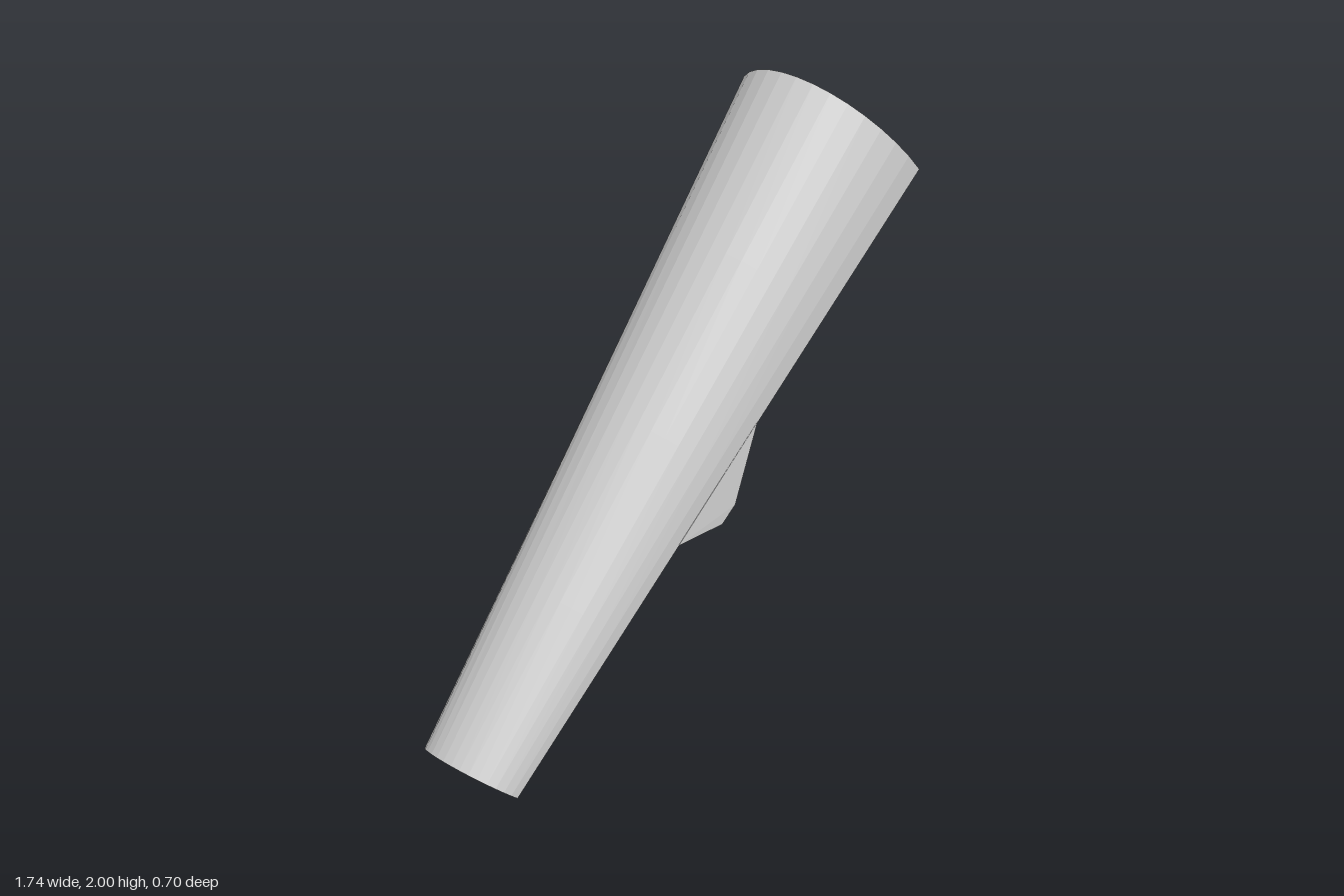
import * as THREE from 'three';

const material = () => new THREE.MeshStandardMaterial({ color: 0xcccccc, flatShading: true });

// Collects quads (corners counter-clockwise from outside) into a mesh
function quadMesh(name, quads) {
  const positions = [];
  for (const [a, b, c, d] of quads) {
    for (const p of [a, b, c, a, c, d]) positions.push(p.x, p.y, p.z);
  }
  const geometry = new THREE.BufferGeometry();
  geometry.setAttribute('position', new THREE.Float32BufferAttribute(positions, 3));
  geometry.computeVertexNormals();
  const mesh = new THREE.Mesh(geometry, material());
  mesh.name = name;
  return mesh;
}

// Ends of the tapered half-cone: rim, ridge and half width, outside and inside
const low = { rim: [-0.74, 0.0], ridge: [-0.87, 0.1], inner: [-0.83, 0.07], w: 0.195, wi: 0.15 };
const high = { rim: [0.865, 1.7], ridge: [0.59, 2.0], inner: [0.62, 1.967], w: 0.35, wi: 0.305 };
const SEGMENTS = 18;
const STATIONS = 4;

// Half-elliptical arc from the +z rim over the ridge to the -z rim
function arc(t, ridgeKey, widthKey) {
  const mix = (a, b) => a + (b - a) * t;
  const [rx, ry] = [0, 1].map((k) => mix(low.rim[k], high.rim[k]));
  const [tx, ty] = [0, 1].map((k) => mix(low[ridgeKey][k], high[ridgeKey][k]));
  const w = mix(low[widthKey], high[widthKey]);
  return Array.from({ length: SEGMENTS + 1 }, (_, i) => {
    const a = (Math.PI * i) / SEGMENTS;
    const s = Math.sin(a);
    return new THREE.Vector3(rx + (tx - rx) * s, ry + (ty - ry) * s, w * Math.cos(a));
  });
}

function createShell() {
  const quads = [];
  const sections = [];
  for (let j = 0; j <= STATIONS; j++) {
    const t = j / STATIONS;
    sections.push([...arc(t, 'ridge', 'w'), ...arc(t, 'inner', 'wi').reverse()]);
  }
  const n = sections[0].length;
  // Outer wall, inner wall and rims
  for (let j = 0; j < STATIONS; j++) {
    const [a, b] = [sections[j], sections[j + 1]];
    for (let i = 0; i < n; i++) {
      const k = (i + 1) % n;
      quads.push([a[i], b[i], b[k], a[k]]);
    }
  }
  // Crescent-shaped ends
  const [first, last] = [sections[0], sections[STATIONS]];
  for (let i = 0; i < SEGMENTS; i++) {
    quads.push([first[i], first[i + 1], first[n - 2 - i], first[n - 1 - i]]);
    quads.push([last[n - 1 - i], last[n - 2 - i], last[i + 1], last[i]]);
  }
  return quadMesh('taperedShell', quads);
}

// Tab hanging from one rim; side is +1 (front) or -1 (back)
function createTab(side) {
  const outline = [[-0.11, 0.67, 0.257], [0.06, 0.695, 0.28], [0.11, 0.75, 0.287], [0.205, 1.005, 0.287]];
  const outer = outline.map(([x, y, z]) => new THREE.Vector3(x, y, z * side));
  const inner = outline.map(([x, y, z]) => new THREE.Vector3(x, y, (z - 0.045) * side));
  const quads = [outer, [...inner].reverse()];
  for (let i = 0; i < 4; i++) {
    const k = (i + 1) % 4;
    quads.push([outer[i], inner[i], inner[k], outer[k]]);
  }
  return quadMesh(side > 0 ? 'frontTab' : 'backTab', side > 0 ? quads : quads.map((q) => [...q].reverse()));
}

export function createModel() {
  const group = new THREE.Group();
  group.name = 'halfConeGuard';
  group.add(createShell(), createTab(1), createTab(-1));
  return group;
}
